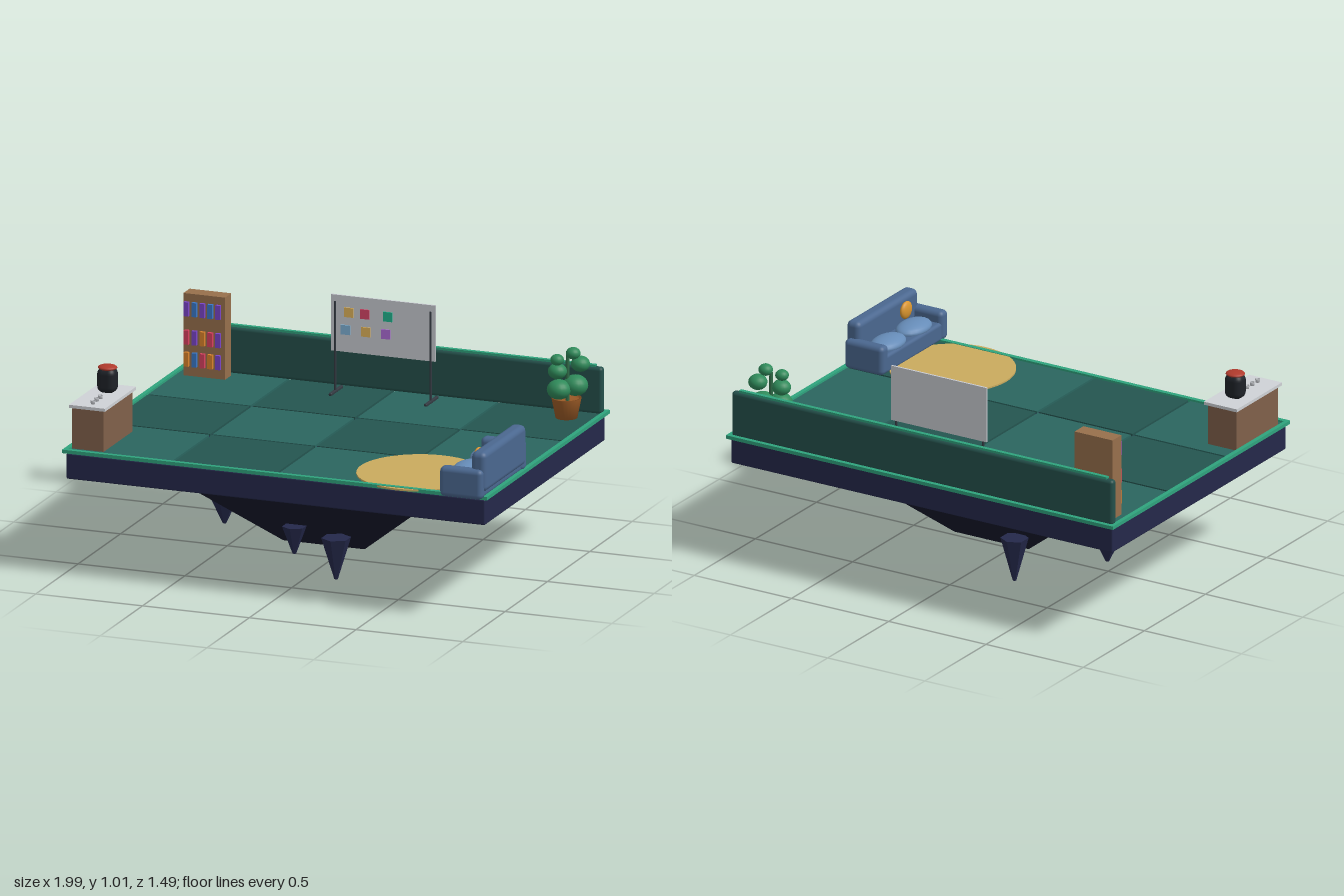
import * as THREE from 'three';
import { RoundedBoxGeometry } from 'three/addons/geometries/RoundedBoxGeometry.js';

const mat = (color, flatShading = false) => new THREE.MeshStandardMaterial({ color, flatShading });

function add(parent, name, geometry, material, x = 0, y = 0, z = 0) {
  const mesh = new THREE.Mesh(geometry, material);
  mesh.name = name;
  mesh.position.set(x, y, z);
  parent.add(mesh);
  return mesh;
}

// Box given by its limits on each axis; r > 0 rounds the edges
function box(parent, name, material, [x0, x1], [y0, y1], [z0, z1], r = 0) {
  const w = x1 - x0, h = y1 - y0, d = z1 - z0;
  const geo = r ? new RoundedBoxGeometry(w, h, d, 3, r) : new THREE.BoxGeometry(w, h, d);
  return add(parent, name, geo, material, (x0 + x1) / 2, (y0 + y1) / 2, (z0 + z1) / 2);
}

function blob(parent, name, material, [x, y, z], [rx, ry, rz]) {
  const mesh = add(parent, name, new THREE.SphereGeometry(1, 20, 14), material, x, y, z);
  mesh.scale.set(rx, ry, rz);
  return mesh;
}

function group(parent, name) {
  const g = new THREE.Group();
  g.name = name;
  parent.add(g);
  return g;
}

const CZ = -0.02;      // centre of the floor in z
const FLOOR = 0.565;   // top of the tiles

function addIsland(root) {
  const g = group(root, 'island');
  box(g, 'slab', mat(0x24284a), [-0.98, 0.98], [0.44, 0.555], [-0.73, 0.69], 0.006);

  // Four-sided tapering keel
  const keelGeo = new THREE.CylinderGeometry(Math.SQRT2, 0.3 * Math.SQRT2, 0.35, 4);
  keelGeo.rotateY(Math.PI / 4).scale(0.635, 1, 0.46);
  add(g, 'keel', keelGeo, mat(0x15172a, true), 0, 0.266, CZ);

  // Hanging rock spikes: x, z, tip height, radius
  const rock = mat(0x24284a, true);
  for (const [x, z, tip, r] of [
    [-0.54, -0.07, 0.08, 0.064], [-0.21, -0.305, 0, 0.062], [-0.09, 0.24, 0.075, 0.055],
    [0.145, 0.34, 0.012, 0.066], [0.04, -0.13, 0.08, 0.05],
  ]) add(g, 'spike', new THREE.CylinderGeometry(r, 0.008, 0.2 - tip, 6), rock, x, (0.2 + tip) / 2, z);

  // Checkered floor
  const tones = [mat(0x2a655f), mat(0x245550)];
  const tw = 0.49, td = 1.42 / 3;
  for (let i = 0; i < 4; i++) for (let j = 0; j < 3; j++) {
    const x = -0.98 + i * tw, z = -0.73 + j * td;
    box(g, 'floorTile', tones[(i + j) % 2], [x + 0.006, x + tw - 0.006], [0.55, FLOOR], [z + 0.006, z + td - 0.006]);
  }

  // Glowing edge strips
  const green = mat(0x2fa37d);
  for (const [z0, z1] of [[-0.75, -0.728], [0.68, 0.702]])
    box(g, 'edgeStrip', green, [-0.995, 0.995], [0.558, 0.574], [z0, z1]);
  for (const s of [-1, 1])
    box(g, 'edgeStrip', green, [s * 0.985 - 0.01, s * 0.985 + 0.01], [0.558, 0.574], [-0.75, 0.702]);

  // Low back wall with trim
  box(g, 'backWall', mat(0x24504b), [-0.98, 0.98], [FLOOR, 0.776], [-0.731, -0.694], 0.015);
  box(g, 'wallTrim', green, [-0.945, 0.945], [0.772, 0.785], [-0.722, -0.703]);

  add(g, 'rug', new THREE.CylinderGeometry(0.277, 0.277, 0.008, 48), mat(0xc9aa5e), 0.578, 0.568, 0.443);
}

function addBookcase(root) {
  const g = group(root, 'bookcase');
  box(g, 'bookcaseBody', mat(0x97704c), [-0.94, -0.745], [FLOOR, 0.938], [-0.665, -0.592]);
  const colors = [0xd9822b, 0x3a78c9, 0xd8405f, 0xd9822b, 0x7a45c9, 0x28b896].map(c => mat(c));
  [0.642, 0.742, 0.87].forEach((y, row) => {
    for (let i = 0; i < 5; i++) {
      const x = -0.922 + i * 0.037;
      box(g, 'book', colors[(i * (row + 1) + row * 2) % 6], [x - 0.011, x + 0.011], [y - 0.032, y + 0.032], [-0.62, -0.576]);
    }
  });
}

function addWhiteboard(root) {
  const g = group(root, 'whiteboard');
  box(g, 'board', mat(0xc9ccd2), [-0.247, 0.243], [0.755, 1.01], [-0.594, -0.585]);
  const metal = mat(0x343a42);
  for (const x of [-0.227, 0.22]) {
    add(g, 'boardPost', new THREE.CylinderGeometry(0.006, 0.006, 0.415, 10), metal, x, 0.773, -0.587);
    box(g, 'boardFoot', metal, [x - 0.007, x + 0.007], [FLOOR, 0.578], [-0.665, -0.525], 0.004);
  }
  // Sticky notes: colour, x, y
  for (const [c, x, y] of [
    [0xe0b45c, -0.162, 0.936], [0xd84468, -0.086, 0.936], [0x1fb58e, 0.021, 0.936],
    [0x7fb2d6, -0.177, 0.856], [0xe0b45c, -0.082, 0.856], [0xae6cd8, 0.011, 0.856],
  ]) add(g, 'stickyNote', new THREE.BoxGeometry(0.043, 0.043, 0.006), mat(c), x, y, -0.582);
}

function addDesk(root) {
  const g = group(root, 'desk');
  box(g, 'deskBody', mat(0x80604a), [-0.972, -0.825], [FLOOR, 0.755], [0.3, 0.64]);
  box(g, 'deskTop', mat(0xcfd2d6), [-0.982, -0.813], [0.752, 0.766], [0.285, 0.655]);
  const cup = new THREE.LatheGeometry([[0, 0], [0.009, 0], [0.011, 0.016], [0.008, 0.016], [0.007, 0.004], [0, 0.004]]
    .map(p => new THREE.Vector2(...p)), 16);
  for (const z of [0.515, 0.558, 0.602]) add(g, 'cup', cup, mat(0xc4c7cc), -0.89, 0.765, z);
  box(g, 'urnBody', mat(0x1e2228), [-0.943, -0.857], [0.764, 0.878], [0.365, 0.443], 0.03);
  blob(g, 'urnLid', mat(0xb03a2c), [-0.9, 0.877, 0.404], [0.043, 0.012, 0.041]);
}

function addSofa(root) {
  const g = group(root, 'sofa');
  const blue = mat(0x4a678f), light = mat(0x668cb8);
  box(g, 'sofaBase', blue, [0.79, 0.975], [FLOOR, 0.65], [0.225, 0.71], 0.015);
  box(g, 'sofaBack', blue, [0.925, 0.995], [0.595, 0.776], [0.229, 0.72], 0.025);
  for (const z of [0.197, 0.682])
    box(g, 'sofaArm', blue, [0.785, 0.985], [FLOOR, 0.7], [z, z + 0.06], 0.022);
  for (const z of [0.362, 0.573]) blob(g, 'seatCushion', light, [0.86, 0.655, z], [0.068, 0.033, 0.105]);
  blob(g, 'throwPillow', mat(0xd9952f), [0.91, 0.72, 0.59], [0.017, 0.04, 0.042]);
}

function addPlant(root) {
  const g = group(root, 'plant');
  const pot = [[0, 0], [0.048, 0], [0.066, 0.09], [0.058, 0.09], [0.056, 0.078], [0, 0.078]]
    .map(p => new THREE.Vector2(...p));
  add(g, 'pot', new THREE.LatheGeometry(pot, 24), mat(0x9a5a26), 0.85, FLOOR, -0.602);
  add(g, 'stem', new THREE.CylinderGeometry(0.008, 0.01, 0.22, 8), mat(0x2f6b47), 0.855, 0.74, -0.602);
  // Leaf clusters: x, y, z, radius
  const leaf = mat(0x2f8a5a);
  for (const [x, y, z, r] of [
    [0.83, 0.7, -0.563, 0.053], [0.885, 0.71, -0.62, 0.056], [0.818, 0.778, -0.576, 0.042],
    [0.903, 0.805, -0.634, 0.042], [0.82, 0.832, -0.568, 0.03], [0.88, 0.858, -0.606, 0.032],
  ]) blob(g, 'leafCluster', leaf, [x, y, z], [r, r * 0.83, r]);
}

export function createModel() {
  const root = new THREE.Group();
  root.name = 'floatingLounge';
  for (const build of [addIsland, addBookcase, addWhiteboard, addDesk, addSofa, addPlant]) build(root);
  return root;
}
